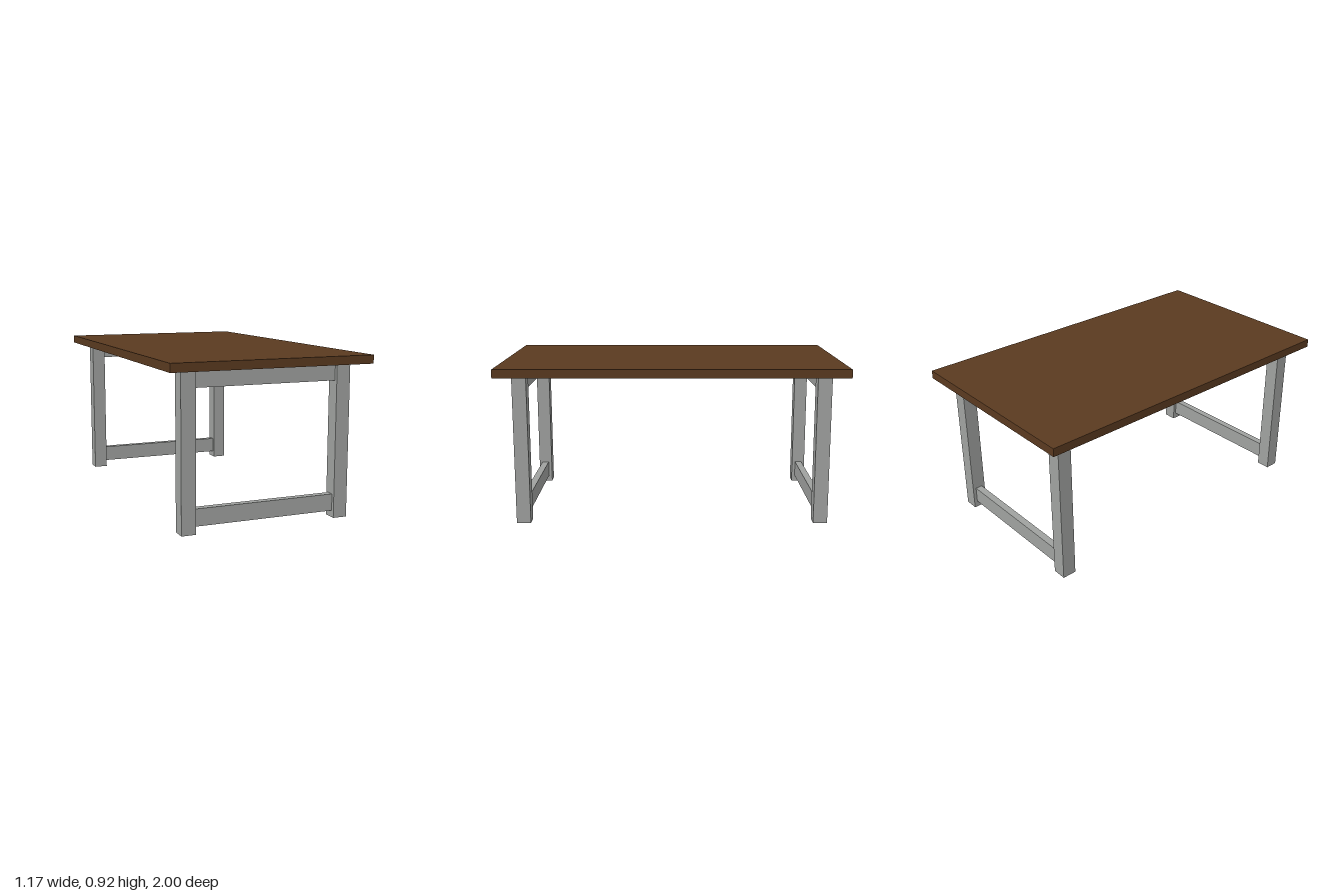
import * as THREE from 'three';

export function createModel() {
  const wood = new THREE.MeshStandardMaterial({ color: 0x5a3a20 });
  wood.name = 'dark wood';
  const metal = new THREE.MeshStandardMaterial({ color: 0xa0a2a0 });
  metal.name = 'grey metal';

  const box = (name, size, pos, material) => {
    const mesh = new THREE.Mesh(new THREE.BoxGeometry(...size), material);
    mesh.name = name;
    mesh.position.set(...pos);
    return mesh;
  };

  const table = new THREE.Group();
  table.name = 'table';

  const legWidth = 0.082, legX = 0.454, legZ = 0.867;
  const under = 0.87, topThickness = 0.048;
  const railLength = 2 * legX - legWidth, railHeight = 0.096, railDepth = 0.042;

  // Table top
  table.add(box('tableTop', [1.168, topThickness, 2], [0, under + topThickness / 2, 0], wood));

  // One leg frame at each end: two posts joined by an upper and a lower rail
  for (const [end, side] of [['front', 1], ['back', -1]]) {
    const frame = new THREE.Group();
    frame.name = `${end}Frame`;
    frame.position.z = side * legZ;
    for (const [label, sx] of [['left', 1], ['right', -1]]) {
      frame.add(box(`${label}Leg`, [legWidth, under, legWidth], [sx * legX, under / 2, 0], metal));
    }
    frame.add(box('upperRail', [railLength, railHeight, railDepth], [0, under - railHeight / 2, 0], metal));
    frame.add(box('lowerRail', [railLength, railHeight, railDepth], [0, 0.086, 0], metal));
    table.add(frame);
  }

  return table;
}
